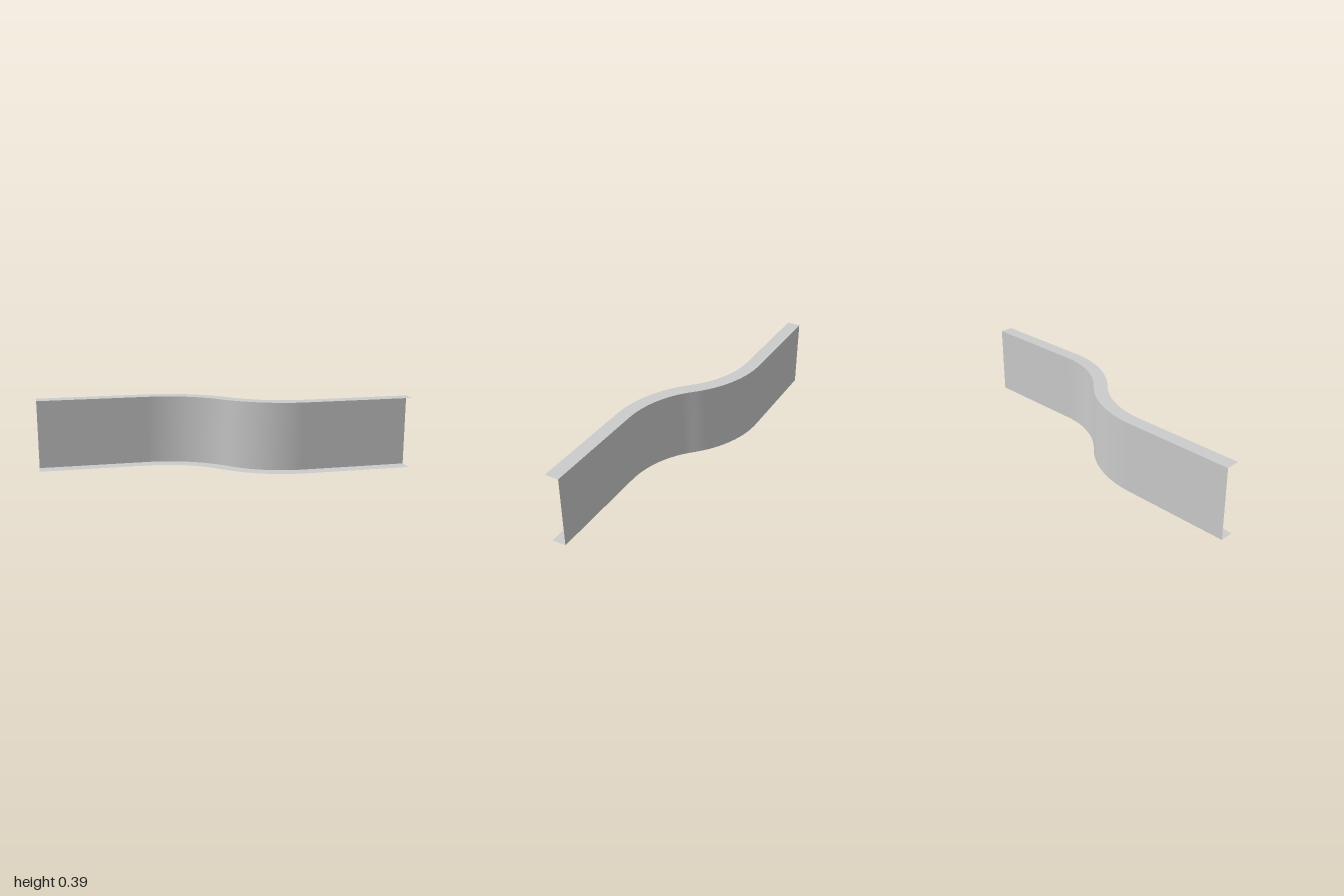
import * as THREE from 'three';

const HEIGHT = 0.39;         // web height
const HALF = 0.0375;         // half flange width
const SHIFT = 0.1725;        // sideways shift of the centre line at each end
const BEND = THREE.MathUtils.degToRad(46);
const RADIUS = SHIFT / (1 - Math.cos(BEND));
const STEPS = 16;            // segments per arc

// Centre line in plan: straight, arc, opposite arc, straight
function centreLine() {
  const half = [{ x: -1, z: -SHIFT, h: 0 }];
  for (let i = 0; i <= STEPS; i++) {
    const h = BEND * i / STEPS;
    half.push({
      x: RADIUS * (Math.sin(h) - Math.sin(BEND)),
      z: -SHIFT + RADIUS * (1 - Math.cos(h)),
      h,
    });
  }
  const mirrored = half.slice(0, -1).reverse().map(p => ({ x: -p.x, z: -p.z, h: p.h }));
  return [...half, ...mirrored];
}

// Sheet swept along the line between two section points [offset, y]
function sheet(name, line, from, to, material) {
  const positions = [], index = [];
  line.forEach((p, i) => {
    for (const [offset, y] of [from, to]) {
      positions.push(p.x - Math.sin(p.h) * offset, y, p.z + Math.cos(p.h) * offset);
    }
    if (i > 0) {
      const a = 2 * (i - 1);
      index.push(a, a + 2, a + 3, a, a + 3, a + 1);
    }
  });
  const geometry = new THREE.BufferGeometry();
  geometry.setAttribute('position', new THREE.Float32BufferAttribute(positions, 3));
  geometry.setIndex(index);
  geometry.computeVertexNormals();
  const mesh = new THREE.Mesh(geometry, material);
  mesh.name = name;
  return mesh;
}

export function createModel() {
  const group = new THREE.Group();
  group.name = 'offsetChannel';
  const material = new THREE.MeshStandardMaterial({ color: 0xcccccc, side: THREE.DoubleSide });
  const line = centreLine();

  // Upright web at the back, flanges pointing to the front
  group.add(
    sheet('web', line, [-HALF, 0], [-HALF, HEIGHT], material),
    sheet('topFlange', line, [HALF, HEIGHT], [-HALF, HEIGHT], material),
    sheet('bottomFlange', line, [-HALF, 0], [HALF, 0], material),
  );
  return group;
}
